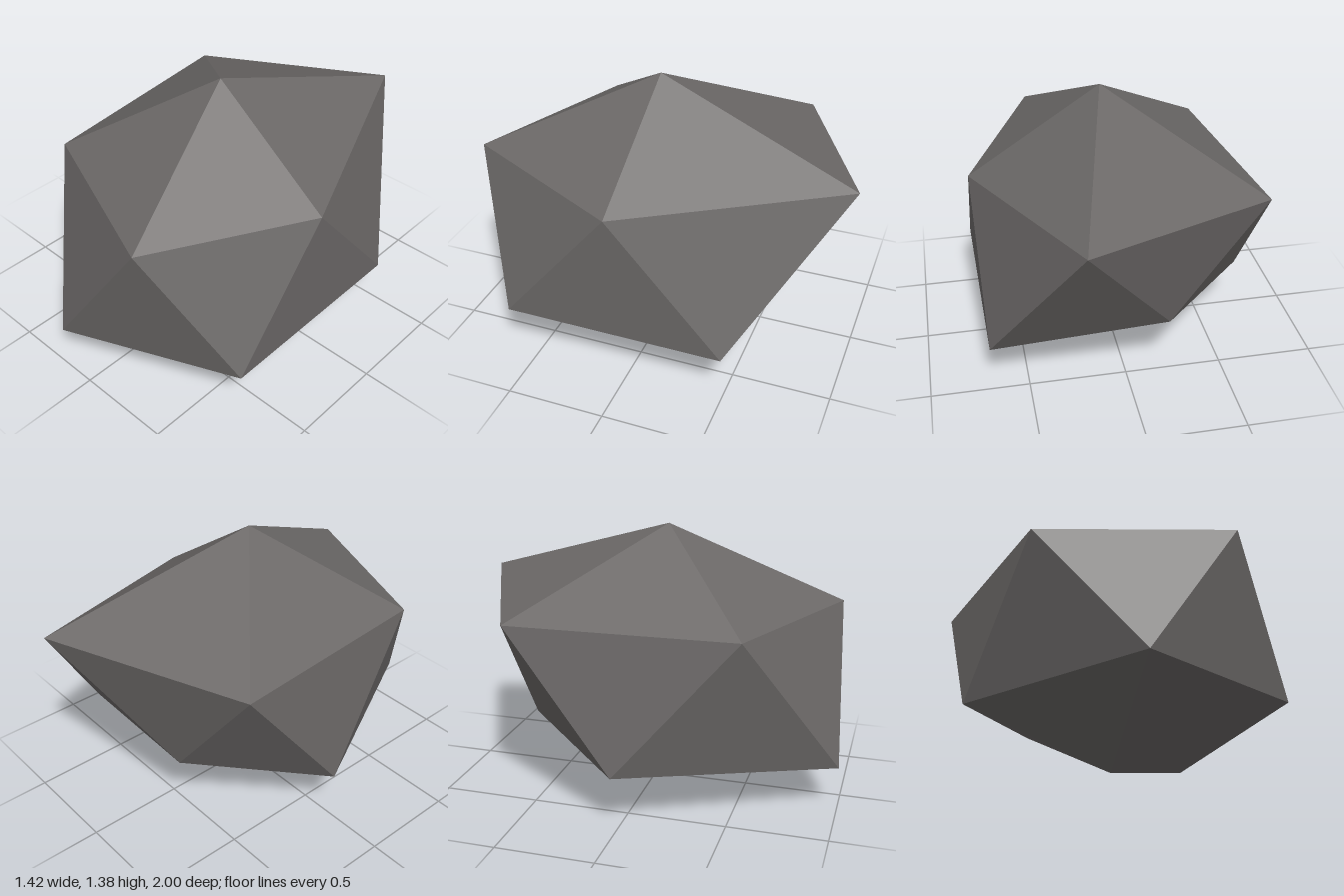
import * as THREE from 'three';

// Faceted boulder: a stretched icosahedron made of two poles and two staggered five-point rings
const TOP = [0.03, 1.38, 0.06];
const BOTTOM = [0.03, 0, 0.06];
const UPPER = [
  [-0.58, 0.97, 0.57], [0.32, 0.965, 0.93], [0.71, 0.915, 0.09],
  [0.275, 1.05, -1.0], [-0.685, 0.99, -0.56],
];
const LOWER = [
  [-0.18, 0.235, 1.0], [0.71, 0.26, 0.64], [0.69, 0.24, -0.49],
  [-0.2, 0.37, -0.6], [-0.715, 0.285, -0.02],
];

function boulderGeometry() {
  const points = [];
  const face = (a, b, c) => points.push(...a, ...b, ...c);
  for (let i = 0; i < 5; i++) {
    const j = (i + 1) % 5;
    face(TOP, UPPER[i], UPPER[j]); // cap
    face(UPPER[i], LOWER[i], UPPER[j]); // side, pointing down
    face(LOWER[i], LOWER[j], UPPER[j]); // side, pointing up
    face(BOTTOM, LOWER[j], LOWER[i]); // underside
  }
  const geometry = new THREE.BufferGeometry();
  geometry.setAttribute('position', new THREE.Float32BufferAttribute(points, 3));
  geometry.computeVertexNormals();
  return geometry;
}

export function createModel() {
  const stone = new THREE.MeshStandardMaterial({ color: 0x6b6867 });
  stone.name = 'stone grey';
  stone.flatShading = true;

  const boulder = new THREE.Mesh(boulderGeometry(), stone);
  boulder.name = 'boulder';

  const model = new THREE.Group();
  model.name = 'rock';
  model.add(boulder);
  return model;
}
